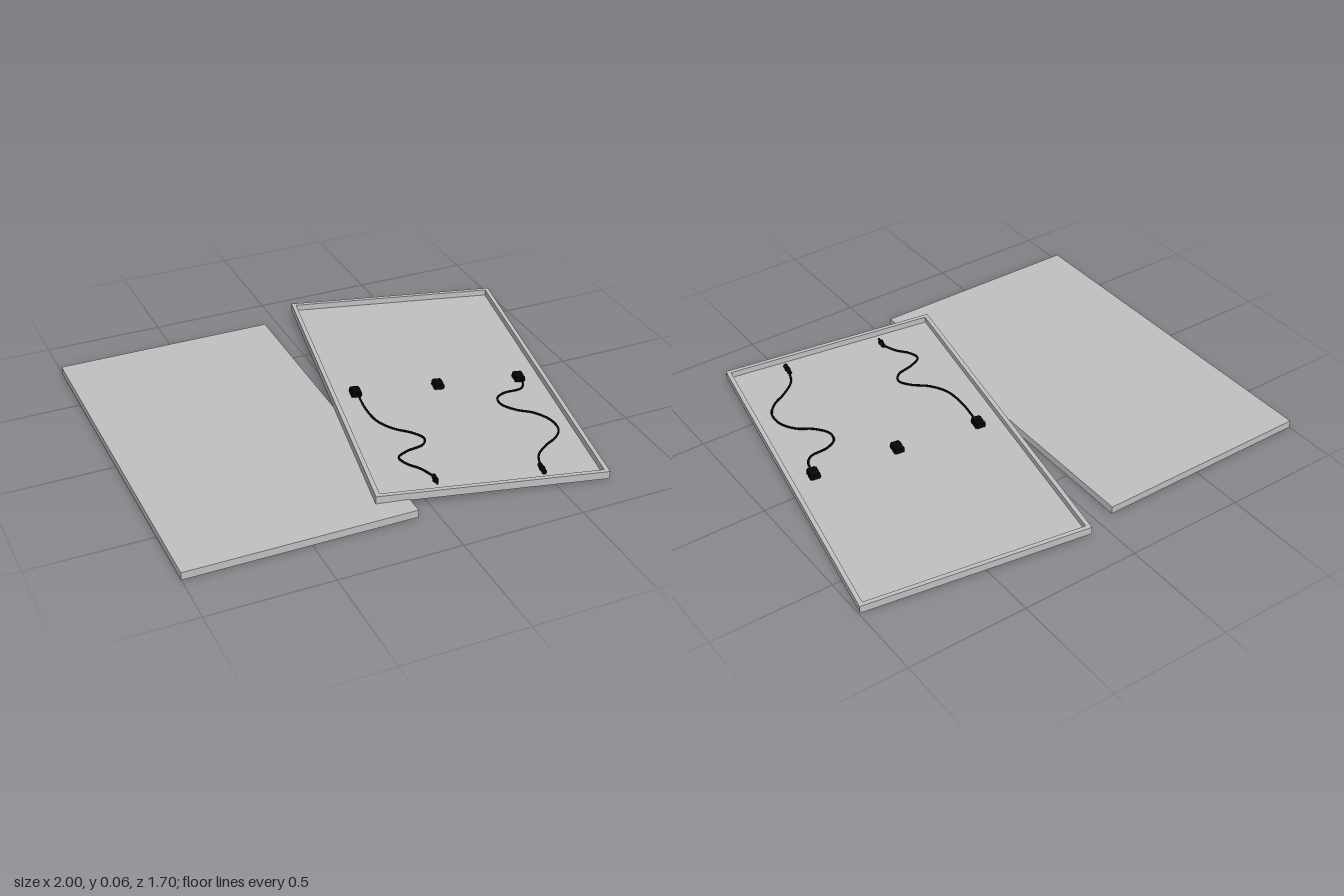
import * as THREE from 'three';

const W = 0.927, L = 1.555, T = 0.032, RIM = 0.018, SHEET = 0.006;

const grey = new THREE.MeshStandardMaterial({ name: 'panel grey', color: 0xc0c0c0 });
const black = new THREE.MeshStandardMaterial({ name: 'cable black', color: 0x050505 });

function add(parent, name, geometry, material, x = 0, y = 0, z = 0) {
  const mesh = new THREE.Mesh(geometry, material);
  mesh.name = name;
  mesh.position.set(x, y, z);
  parent.add(mesh);
  return mesh;
}

// Cable paths on the back of the panel, as [across, along]
const leftPath = [
  [-0.35, 0.015], [-0.345, 0.146], [-0.322, 0.243], [-0.274, 0.306], [-0.204, 0.354], [-0.171, 0.398],
  [-0.188, 0.442], [-0.263, 0.477], [-0.306, 0.515], [-0.287, 0.563], [-0.244, 0.605], [-0.208, 0.665],
];
const rightPath = [
  [0.355, 0.015], [0.352, 0.066], [0.328, 0.101], [0.251, 0.121], [0.211, 0.154], [0.21, 0.205], [0.256, 0.257],
  [0.324, 0.295], [0.371, 0.358], [0.379, 0.428], [0.349, 0.484], [0.288, 0.536], [0.238, 0.596], [0.219, 0.665],
];

function makeCable(path, name) {
  const points = path.map(([u, v]) => new THREE.Vector3(u, 0.019, v));
  const curve = new THREE.CatmullRomCurve3(points);
  const cable = new THREE.Group();
  cable.name = name;
  add(cable, 'wire', new THREE.TubeGeometry(curve, 90, 0.0045, 8), black);
  return cable;
}

// Plug built along z: body, collar and nose
function makePlug(u, socket) {
  const plug = new THREE.Group();
  plug.name = socket ? 'socketPlug' : 'pinPlug';
  const section = (name, r0, r1, length, z) =>
    add(plug, name, new THREE.CylinderGeometry(r1, r0, length, 12).rotateX(Math.PI / 2), black, 0, 0, z);
  section('body', 0.009, 0.01, 0.028, 0.014);
  section('collar', 0.0115, 0.0115, 0.01, 0.03);
  section('nose', socket ? 0.01 : 0.007, socket ? 0.01 : 0.004, 0.024, 0.046);
  plug.position.set(u, 0.0195, 0.66);
  return plug;
}

// Junction box with ribs on its sides
function makeJunctionBox(u) {
  const box = new THREE.Group();
  box.name = 'junctionBox';
  const h = 0.022, y = SHEET + h / 2;
  add(box, 'housing', new THREE.BoxGeometry(0.034, h, 0.054), black, 0, y, 0);
  for (let i = -1; i <= 1; i++)
    add(box, 'rib', new THREE.BoxGeometry(0.043, h - 0.003, 0.011), black, 0, y - 0.0015, i * 0.018);
  box.position.x = u;
  return box;
}

// One panel lying on its glass face, with the wired back upward
function makePanel(name) {
  const panel = new THREE.Group();
  panel.name = name;

  const outline = new THREE.Shape([
    new THREE.Vector2(-W / 2, -L / 2), new THREE.Vector2(W / 2, -L / 2),
    new THREE.Vector2(W / 2, L / 2), new THREE.Vector2(-W / 2, L / 2),
  ]);
  const a = W / 2 - RIM, b = L / 2 - RIM;
  outline.holes.push(new THREE.Path([
    new THREE.Vector2(-a, -b), new THREE.Vector2(-a, b), new THREE.Vector2(a, b), new THREE.Vector2(a, -b),
  ]));
  const rim = new THREE.ExtrudeGeometry(outline, { depth: T, bevelEnabled: false });
  add(panel, 'frame', rim.rotateX(-Math.PI / 2), grey);
  add(panel, 'sheet', new THREE.BoxGeometry(2 * a, SHEET, 2 * b), grey, 0, SHEET / 2, 0);

  for (const u of [-0.354, 0, 0.354]) panel.add(makeJunctionBox(u));
  panel.add(makeCable(leftPath, 'leftCable'), makeCable(rightPath, 'rightCable'));
  panel.add(makePlug(-0.208, false), makePlug(0.219, true));
  return panel;
}

export function createModel() {
  const model = new THREE.Group();
  model.name = 'panelPair';

  // Flat panel, turned over so the wired back faces the ground
  const flat = makePanel('faceUpPanel');
  flat.rotation.z = Math.PI;
  flat.position.set(-0.5365, T, 0);

  // Second panel, back upward, leaning on the edge of the first
  const leaning = makePanel('leaningPanel');
  leaning.rotation.set(0, -0.185, -0.0345);
  leaning.position.set(0.396, 0.016, -0.002);

  model.add(flat, leaning);
  return model;
}
